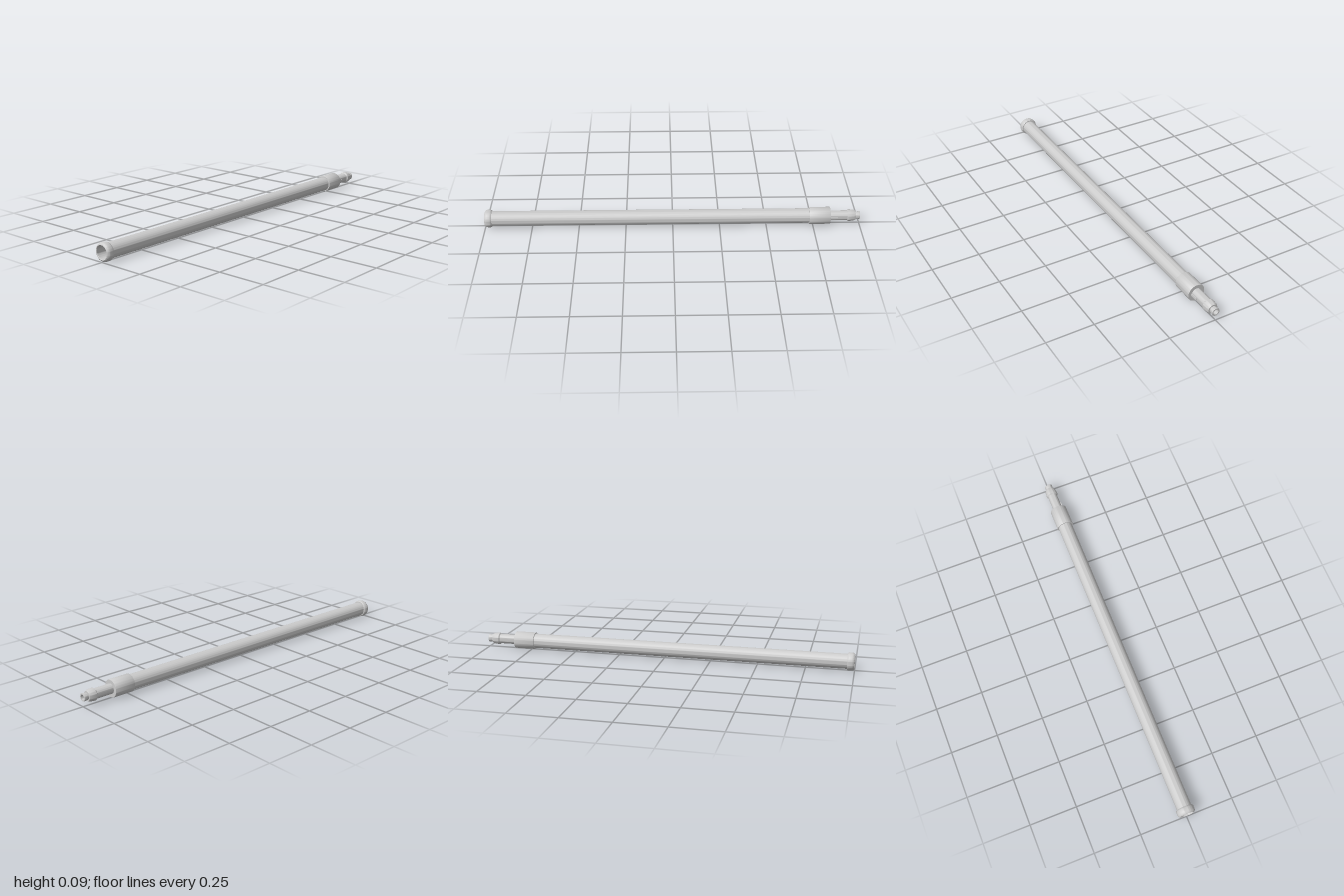
import * as THREE from 'three';
import { toCreasedNormals } from 'three/addons/utils/BufferGeometryUtils.js';

const AXIS_Y = 0.047;
const material = new THREE.MeshStandardMaterial({ color: 0xcccccc, side: THREE.DoubleSide });

// Turned part along z; profile is [radius, z], outside running from back to front
function turned(name, profile) {
  const points = profile.map(([r, z]) => new THREE.Vector2(r, z));
  const geometry = new THREE.LatheGeometry(points, 64);
  geometry.rotateX(Math.PI / 2);
  const mesh = new THREE.Mesh(toCreasedNormals(geometry, Math.PI / 6), material);
  mesh.name = name;
  mesh.position.y = AXIS_Y;
  return mesh;
}

export function createModel() {
  const group = new THREE.Group();
  group.name = 'connectorTube';

  // Long hollow barrel, closed at the back
  group.add(turned('barrel', [
    [0.039, -0.74], [0.039, 0.97], [0.034, 0.97], [0.034, -0.72], [0, -0.72],
  ]));

  // Rounded collar around the open front end
  group.add(turned('frontRim', [
    [0.039, 0.962], [0.043, 0.962], [0.0455, 0.965], [0.047, 0.97], [0.047, 0.985],
    [0.0455, 0.992], [0.042, 0.997], [0.036, 1], [0.034, 0.997], [0.034, 0.96],
  ]));

  // Wider sleeve at the back of the barrel
  group.add(turned('sleeve', [
    [0.026, -0.84], [0.0445, -0.84], [0.0455, -0.838], [0.0455, -0.73], [0.0445, -0.728], [0.039, -0.728],
  ]));

  // Stem with a barbed nozzle and a bore at the tip
  group.add(turned('stem', [[0.026, -0.94], [0.026, -0.835]]));
  group.add(turned('nozzle', [
    [0, -0.93], [0.014, -0.93], [0.014, -1], [0.02, -1], [0.021, -0.997],
    [0.018, -0.976], [0.025, -0.976], [0.029, -0.966], [0.0315, -0.945],
    [0.0315, -0.937], [0.026, -0.932],
  ]));

  // Small locating key beside the stem
  const key = new THREE.Mesh(new THREE.BoxGeometry(0.01, 0.01, 0.04), material);
  key.name = 'locatingKey';
  key.position.set(0.025, AXIS_Y, -0.86);
  group.add(key);

  return group;
}
